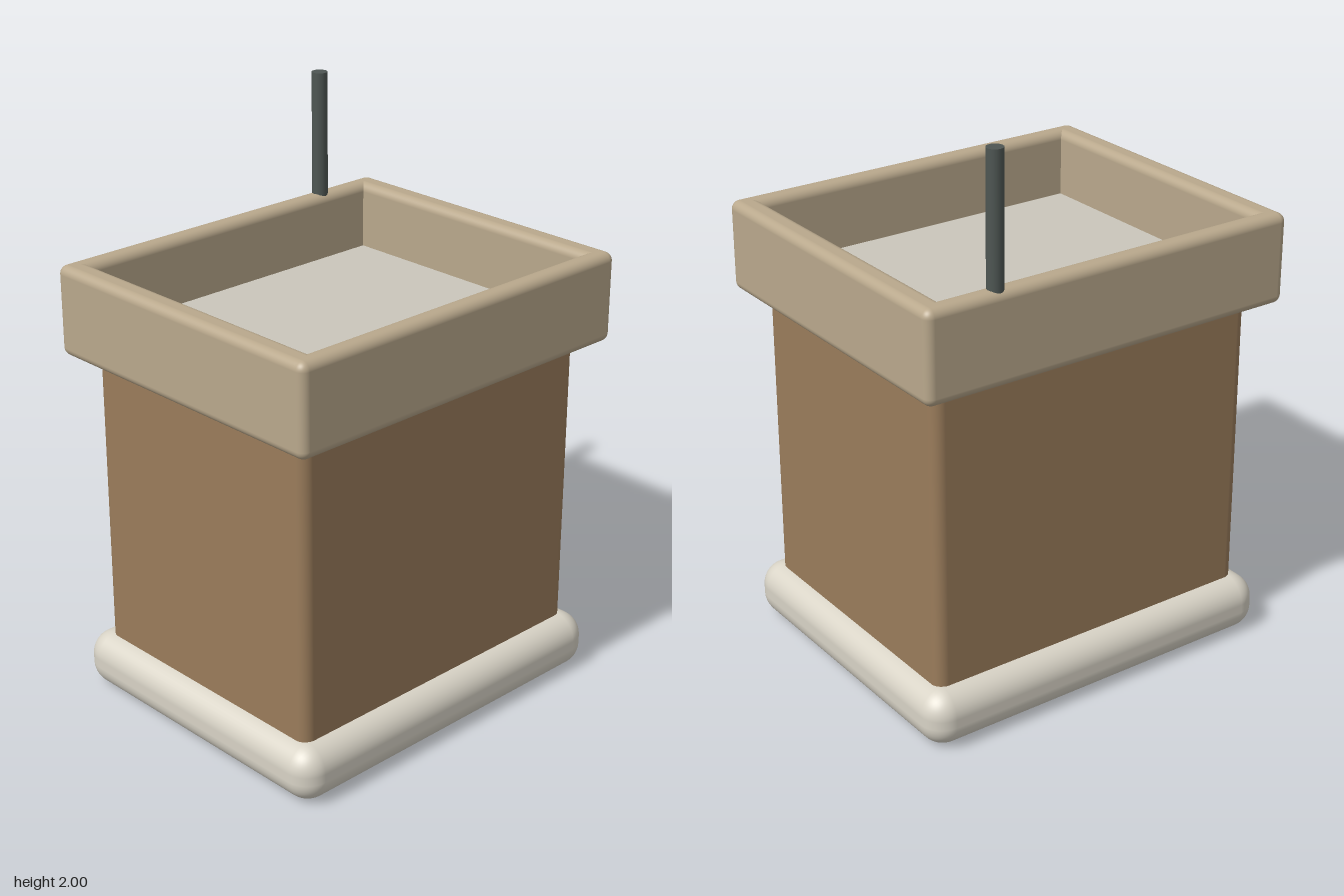
import * as THREE from 'three';
import { RoundedBoxGeometry } from 'three/addons/geometries/RoundedBoxGeometry.js';

function material(name, color) {
  const m = new THREE.MeshStandardMaterial({ color });
  m.name = name;
  return m;
}

export function createModel() {
  const stone = material('pale stone', 0xd8d3c6);
  const clay = material('brown clay', 0x9a7c5b);
  const sand = material('sand trim', 0xb9a88c);
  const roofGrey = material('roof grey', 0xcac6bb);
  const metal = material('dark metal', 0x4e5653);

  const model = new THREE.Group();
  model.name = 'flatRoofBuilding';

  // Rounded block from its size, bottom height and plan position
  function block(name, mat, w, h, d, bottom, radius, x = 0, z = 0) {
    const mesh = new THREE.Mesh(new RoundedBoxGeometry(w, h, d, 5, radius), mat);
    mesh.name = name;
    mesh.position.set(x, bottom + h / 2, z);
    model.add(mesh);
  }

  // Plinth and main walls
  block('plinth', stone, 1.38, 0.2, 1.15, 0, 0.085);
  block('body', clay, 1.25, 1.235, 1.0, 0.01, 0.04);

  // Sunken roof deck
  const deck = new THREE.Mesh(new THREE.BoxGeometry(1.32, 0.08, 1.1), roofGrey);
  deck.name = 'roofDeck';
  deck.position.y = 1.285;
  model.add(deck);

  // Parapet: long walls front and back, short walls at the sides
  for (const s of [1, -1]) {
    block(s > 0 ? 'frontParapet' : 'backParapet', sand, 1.41, 0.315, 0.075, 1.245, 0.03, 0, s * 0.55);
    block(s > 0 ? 'leftParapet' : 'rightParapet', sand, 0.09, 0.315, 1.17, 1.245, 0.03, s * 0.66, 0);
  }

  // Roof pipe standing on the back parapet
  const pipe = new THREE.Mesh(new THREE.CylinderGeometry(0.028, 0.028, 0.46, 16), metal);
  pipe.name = 'roofPipe';
  pipe.position.set(0.435, 1.77, -0.55);
  model.add(pipe);

  return model;
}
